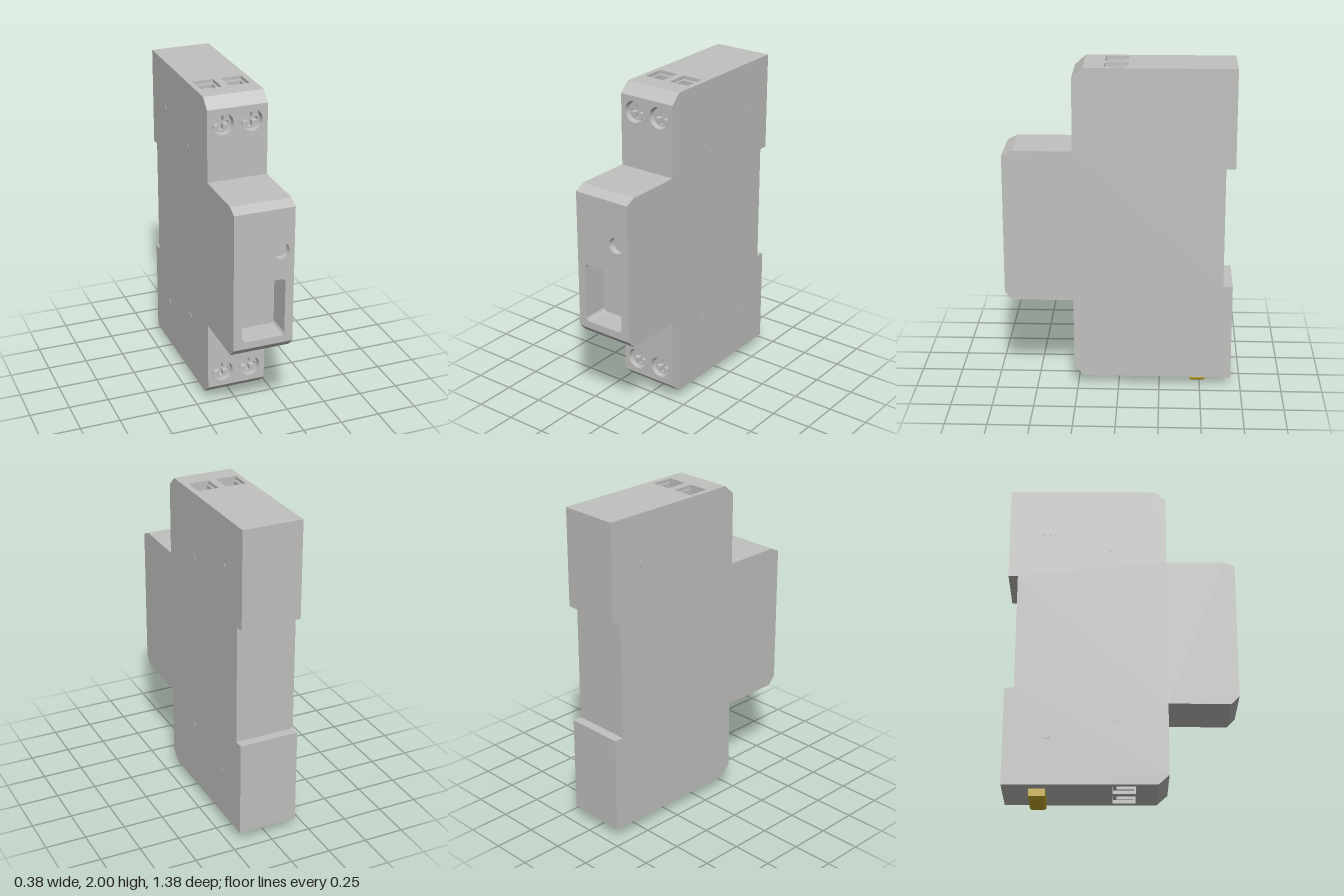
import * as THREE from 'three';

const HALF = 0.185; // half the housing width
const grey = new THREE.MeshStandardMaterial({ color: 0xc0c0be });
grey.name = 'housing grey';
const gold = new THREE.MeshStandardMaterial({ color: 0xc4a82a });
gold.name = 'clip yellow';

// Side profile as (z, y), walked bottom, front, top, back
const PROFILE = [
  [-0.69, 0.06], [0.21, 0.06], [0.275, 0.12], [0.275, 0.56], [0.645, 0.56], [0.693, 0.61],
  [0.693, 1.47], [0.63, 1.5], [0.275, 1.5], [0.275, 1.94], [0.21, 2], [-0.69, 2],
  [-0.69, 1.4], [-0.633, 1.4], [-0.633, 0.66], [-0.69, 0.66],
];
const NAMES = {
  0: 'bottomFace', 2: 'lowerTerminalFace', 5: 'frontFace', 8: 'upperTerminalFace', 10: 'topFace', 13: 'railSlot',
};

function add(parent, geometry, name, material = grey) {
  const mesh = new THREE.Mesh(geometry, material);
  mesh.name = name;
  parent.add(mesh);
  return mesh;
}

function polygon(points) {
  return new THREE.Shape(points.map(([x, y]) => new THREE.Vector2(x, y)));
}

function circle(x, y, r) {
  return new THREE.Shape().absarc(x, y, r, 0, Math.PI * 2, false);
}

// Counter-clockwise rectangle with rounded corners
function roundRect(x, y, w, h, r) {
  const a = w / 2 - r, b = h / 2 - r, q = Math.PI / 2;
  const s = new THREE.Shape();
  [[a, b], [-a, b], [-a, -b], [a, -b]].forEach(([cx, cy], i) =>
    s.absarc(x + cx, y + cy, r, i * q, (i + 1) * q, false));
  return s;
}

function rect(x, y, w, h) {
  const a = w / 2, b = h / 2;
  return polygon([[x - a, y - b], [x + a, y - b], [x + a, y + b], [x - a, y + b]]);
}

// Inward-facing walls and floor of a recess
function recess(parent, shape, depth, name) {
  const pts = shape.getPoints(16), pos = [];
  pts.forEach((p, i) => {
    const q = pts[(i + 1) % pts.length];
    if (p.distanceTo(q) < 1e-6) return;
    pos.push(p.x, p.y, 0, q.x, q.y, 0, p.x, p.y, -depth);
    pos.push(q.x, q.y, 0, q.x, q.y, -depth, p.x, p.y, -depth);
  });
  const walls = new THREE.BufferGeometry();
  walls.setAttribute('position', new THREE.Float32BufferAttribute(pos, 3));
  walls.computeVertexNormals();
  add(parent, walls, name + 'Walls');
  add(parent, new THREE.ShapeGeometry(shape, 16), name + 'Floor').position.z = -depth;
}

// Screw head with a cross slot, sunk in its hole
function screw(parent, x, y) {
  const head = circle(0, 0, 0.056);
  const l = 0.045, w = 0.012;
  head.holes.push(polygon([
    [l, -w], [l, w], [w, w], [w, l], [-w, l], [-w, w],
    [-l, w], [-l, -w], [-w, -w], [-w, -l], [w, -l], [w, -w],
  ]));
  const geo = new THREE.ExtrudeGeometry(head, { depth: 0.035, bevelEnabled: false, curveSegments: 16 });
  add(parent, geo, 'screwHead').position.set(x, y, -0.06);
}

// U-shaped wire clamp inside a terminal opening, open to the front
function clamp(parent, x, y, back) {
  const u = polygon([
    [-0.063, -0.057], [-0.049, -0.057], [-0.049, 0.046], [0.049, 0.046],
    [0.049, -0.057], [0.063, -0.057], [0.063, 0.066], [-0.063, 0.066],
  ]);
  const mesh = add(parent, new THREE.ExtrudeGeometry(u, { depth: 0.06, bevelEnabled: false }), 'wireClamp');
  if (back < 0) mesh.rotation.z = Math.PI;
  mesh.position.set(x, y, -0.08);
}

// Openings on each face, in face coordinates (x, distance along the profile edge)
function openings(edge) {
  const list = [];
  const screws = (y) => [-0.09, 0.087].forEach((x) => list.push({
    name: 'screwHole', shape: circle(x, y, 0.066), depth: 0.06, fill: (g) => screw(g, x, y),
  }));
  const wires = (y, back) => [-0.089, 0.085].forEach((x) => list.push({
    name: 'wireOpening', shape: rect(x, y, 0.128, 0.138), depth: 0.09, fill: (g) => clamp(g, x, y, back),
  }));
  if (edge === 0) wires(0.707, -1);
  if (edge === 2) screws(0.1);
  if (edge === 8) screws(0.345);
  if (edge === 10) wires(0.193, 1);
  if (edge === 5) {
    list.push({ name: 'switchWindow', shape: roundRect(0, 0.23, 0.266, 0.37, 0.025), depth: 0.16 });
    list.push({ name: 'indicatorHole', shape: circle(0.103, 0.595, 0.05), depth: 0.04 });
  }
  return list;
}

export function createModel() {
  const model = new THREE.Group();
  model.name = 'circuitBreaker';

  // Housing: one panel per profile edge
  const X = new THREE.Vector3(1, 0, 0);
  PROFILE.forEach(([z, y], i) => {
    const [z2, y2] = PROFILE[(i + 1) % PROFILE.length];
    const dir = new THREE.Vector3(0, y2 - y, z2 - z);
    const len = dir.length();
    dir.normalize();
    const face = new THREE.Group();
    face.name = NAMES[i] || 'housingEdge';
    face.quaternion.setFromRotationMatrix(
      new THREE.Matrix4().makeBasis(X, dir, new THREE.Vector3().crossVectors(X, dir)));
    face.position.set(0, y, z);
    const panel = rect(0, len / 2, HALF * 2, len);
    for (const o of openings(i)) {
      panel.holes.push(o.shape);
      recess(face, o.shape, o.depth, o.name);
      if (o.fill) o.fill(face);
    }
    add(face, new THREE.ShapeGeometry(panel, 16), 'panel');
    model.add(face);
  });

  // Side walls with small, nearly flush rivets
  for (const s of [-1, 1]) {
    const side = add(model, new THREE.ShapeGeometry(polygon(PROFILE.map(([z, y]) => [-s * z, y]))),
      s > 0 ? 'leftSide' : 'rightSide');
    side.rotation.y = s * Math.PI / 2;
    side.position.x = s * HALF;
    for (const [z, y] of [[-0.06, 1.595], [-0.457, 1.7], [-0.04, 0.465], [-0.437, 0.36]]) {
      const rivet = add(model, new THREE.CylinderGeometry(0.023, 0.023, 0.004, 20), 'rivet');
      rivet.rotation.z = Math.PI / 2;
      rivet.position.set(s * (HALF + 0.0005), y, z);
    }
  }

  // Rail release clip with bevelled lower edges
  const clip = add(model, new THREE.ExtrudeGeometry(rect(0, 0, 0.194, 0.068), {
    depth: 0.06, bevelThickness: 0.015, bevelSize: 0.015, bevelSegments: 1,
  }), 'releaseClip', gold);
  clip.rotation.x = Math.PI / 2;
  clip.position.set(0, 0.075, -0.487);

  return model;
}
